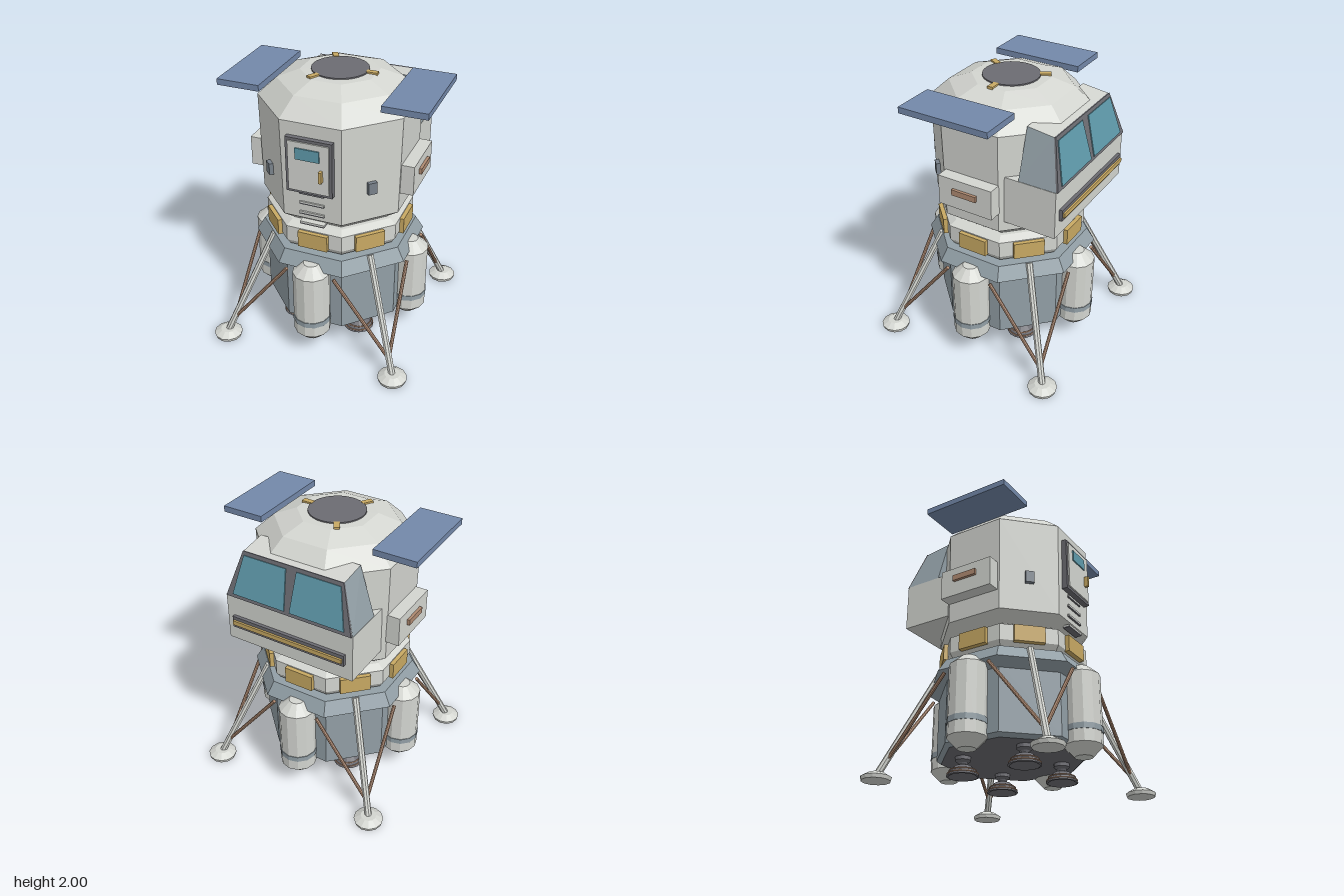
import * as THREE from 'three';

const mat = (name, color) => Object.assign(new THREE.MeshStandardMaterial({ color }), { name });

export function createModel() {
  const root = new THREE.Group();
  root.name = 'lander';
  const hull = mat('hull', 0xd3d5d0), slate = mat('slate', 0x929fa6), dark = mat('darkGrey', 0x6c6c72);
  const gold = mat('gold', 0xc8a963), copper = mat('copper', 0xb08b72), glass = mat('glass', 0x5f9aab);
  const blue = mat('panelBlue', 0x7388a9), box2 = mat('boxGrey', 0x78818a);

  const add = (name, geo, material, x = 0, y = 0, z = 0, parent = root) => {
    const m = new THREE.Mesh(geo, material);
    m.name = name;
    m.position.set(x, y, z);
    parent.add(m);
    return m;
  };
  const flat = (g) => {
    const f = g.index ? g.toNonIndexed() : g;
    f.computeVertexNormals();
    return f;
  };
  const box = (name, w, h, d, material, x, y, z, parent) =>
    add(name, new THREE.BoxGeometry(w, h, d), material, x, y, z, parent);
  // Faceted turned shape from [radius, height] pairs, bottom to top
  const turned = (pts, sides, start = 0) =>
    flat(new THREE.LatheGeometry(pts.map((p) => new THREE.Vector2(p[0], p[1])), sides, start));
  // Octagon whose flat sides face the axes; radii are measured to the flats
  const octagon = (pts) => turned(pts.map(([a, y]) => [a / Math.cos(Math.PI / 8), y]), 8, Math.PI / 8);
  const strut = (name, a, b, r, material, parent) => {
    const p = new THREE.Vector3(...a), q = new THREE.Vector3(...b), d = q.clone().sub(p);
    const m = add(name, flat(new THREE.CylinderGeometry(r, r, d.length(), 8)), material, 0, 0, 0, parent);
    m.position.copy(p).add(q).multiplyScalar(0.5);
    m.quaternion.setFromUnitVectors(new THREE.Vector3(0, 1, 0), d.normalize());
  };
  // Flat faces from lists of four corners, counter-clockwise seen from outside
  const quads = (list) => {
    const g = new THREE.BufferGeometry();
    const v = list.flatMap(([a, b, c, d]) => [a, b, c, a, c, d]).flat();
    g.setAttribute('position', new THREE.Float32BufferAttribute(v, 3));
    return flat(g);
  };

  // Crew hull, collar, skirt and descent stage
  add('crewHull', octagon([[0, 1.02], [0.41, 1.02], [0.505, 1.1], [0.517, 1.81], [0.395, 1.93],
    [0.25, 1.988], [0, 1.993]]), hull);
  add('collar', octagon([[0, 0.82], [0.46, 0.83], [0.49, 0.875], [0.49, 0.99], [0.44, 1.02], [0, 1.02]]), hull);
  add('skirt', octagon([[0.49, 0.66], [0.57, 0.72], [0.515, 0.815], [0, 0.825]]), slate);
  add('descentStage', octagon([[0.47, 0.2], [0.5, 0.225], [0.5, 0.7]]), slate);
  add('stageFloor', octagon([[0, 0.199], [0.47, 0.2]]), dark);

  // Gold panels around the collar
  for (let i = 0; i < 8; i++) {
    const a = (i * Math.PI) / 4;
    box('collarPanel', 0.215, 0.118, 0.05, gold, Math.sin(a) * 0.495, 0.923, Math.cos(a) * 0.495).rotation.y = a;
  }

  // Top hatch with three clips
  add('topHatch', new THREE.CylinderGeometry(0.195, 0.195, 0.012, 32), dark, 0, 1.992, 0);
  for (let i = 0; i < 3; i++) {
    const a = (i * 2 * Math.PI) / 3;
    box('hatchClip', 0.078, 0.02, 0.04, gold, Math.cos(a) * 0.225, 1.99, Math.sin(a) * 0.225).rotation.y = -a;
  }

  // Front door: frame, leaf, window, handle and rungs
  box('doorFrame', 0.325, 0.395, 0.06, dark, 0, 1.518, 0.52);
  box('doorLeaf', 0.285, 0.355, 0.02, hull, 0, 1.518, 0.55);
  box('doorWindow', 0.168, 0.08, 0.009, glass, -0.004, 1.615, 0.5645);
  box('doorHandle', 0.02, 0.08, 0.03, gold, 0.092, 1.48, 0.575);
  [1.3, 1.222, 1.145, 1.065].forEach((y) => {
    box('rung', 0.175, 0.011, 0.05, hull, 0, y + 0.004, 0.493);
    box('rungUnderside', 0.175, 0.009, 0.05, dark, 0, y - 0.006, 0.493);
  });

  for (const s of [1, -1]) {
    // Side lockers, sensor boxes and flat solar panels
    box('sideLocker', 0.13, 0.215, 0.41, hull, s * 0.535, 1.352, -0.01);
    box('lockerHandle', 0.03, 0.042, 0.185, copper, s * 0.605, 1.372, -0.012);
    box('sensorBox', 0.062, 0.085, 0.04, box2, s * 0.367, 1.352, 0.367).rotation.y = (s * Math.PI) / 4;
    box('solarPanel', 0.305, 0.043, 0.66, blue, s * 0.57, 1.93, 0.053);
  }

  // Rear cockpit: lower box, sloped canopy, framed windows, gold rail
  box('cockpitBase', 0.965, 0.342, 0.377, hull, 0, 1.346, -0.427);
  const B = 0.48, T = 0.375;
  const bf = (s) => [s * B, 1.515, -0.343], bb = (s) => [s * B, 1.515, -0.615];
  const tf = (s) => [s * T, 1.86, -0.343], tb = (s) => [s * T, 1.835, -0.533];
  add('cockpitRoof', quads([[tf(-1), tf(1), tb(1), tb(-1)]]), hull);
  add('cockpitSides', quads([
    [bf(1), bb(1), tb(1), tf(1)],
    [bb(-1), bf(-1), tf(-1), tb(-1)],
    [bf(-1), bf(1), tf(1), tf(-1)],
  ]), slate);
  // Plate on the sloped rear face; u is x, v runs from bottom (0) to top (1)
  const slope = ([u, v], lift) => [u, 1.515 + 0.32 * v + 0.248 * lift, -0.615 + 0.082 * v - 0.969 * lift];
  const plate = (uv, lo, hi) => {
    const a = uv.map((p) => slope(p, lo)), b = uv.map((p) => slope(p, hi));
    const faces = [b];
    for (let i = 0; i < 4; i++) {
      const j = (i + 1) % 4;
      faces.push([a[i], a[j], b[j], b[i]]);
    }
    return quads(faces);
  };
  add('windscreenFrame', plate([[0.475, 0], [-0.475, 0], [-T, 1], [T, 1]], -0.005, 0.012), dark);
  add('leftWindow', plate([[0.422, 0.07], [0.02, 0.07], [0.04, 0.92], [0.362, 0.92]], 0.012, 0.019), glass);
  add('rightWindow', plate([[-0.02, 0.07], [-0.422, 0.07], [-0.362, 0.92], [-0.04, 0.92]], 0.012, 0.019), glass);
  box('railBacking', 0.86, 0.082, 0.03, dark, 0, 1.328, -0.624);
  box('rail', 0.84, 0.032, 0.02, gold, 0, 1.328, -0.643);

  // Four propellant tanks with bands
  const tankGeo = turned([[0, 0.13], [0.062, 0.132], [0.132, 0.205], [0.132, 0.7], [0.055, 0.768], [0, 0.77]], 12);
  const bandGeo = turned([[0.13, 0.29], [0.136, 0.29], [0.136, 0.33], [0.13, 0.33]], 12);
  for (let i = 0; i < 4; i++) {
    const a = (i * Math.PI) / 2, x = Math.sin(a) * 0.545, z = Math.cos(a) * 0.545;
    add('tank', tankGeo, hull, x, 0, z);
    add('tankBand', bandGeo, slate, x, 0, z);
  }

  // Legs and engines, one per corner
  const footGeo = turned([[0, 0], [0.098, 0], [0.105, 0.025], [0.055, 0.055], [0, 0.055]], 12);
  const bellGeo = turned([[0, 0.11], [0.1, 0.062], [0.112, 0.066], [0.095, 0.1], [0.06, 0.135], [0.03, 0.147],
    [0.035, 0.16], [0.055, 0.175], [0.055, 0.2]], 16);
  for (const sx of [1, -1]) for (const sz of [1, -1]) {
    const leg = new THREE.Group();
    leg.name = 'leg';
    root.add(leg);
    strut('mainStrut', [sx * 0.365, 0.81, sz * 0.365], [sx * 0.645, 0.04, sz * 0.645], 0.025, hull, leg);
    const low = [sx * 0.605, 0.14, sz * 0.605];
    strut('sideBrace', [sx * 0.175, 0.69, sz * 0.575], low, 0.013, copper, leg);
    strut('sideBrace', [sx * 0.575, 0.69, sz * 0.175], low, 0.013, copper, leg);
    add('foot', footGeo, hull, sx * 0.648, 0, sz * 0.648, leg);

    add('engine', bellGeo, dark, sx * 0.244, 0, sz * 0.244);
    for (const [r, y] of [[0.106, 0.082], [0.093, 0.104]])
      add('engineRing', new THREE.TorusGeometry(r, 0.005, 5, 16).rotateX(Math.PI / 2), copper, sx * 0.244, y, sz * 0.244);
  }
  return root;
}
